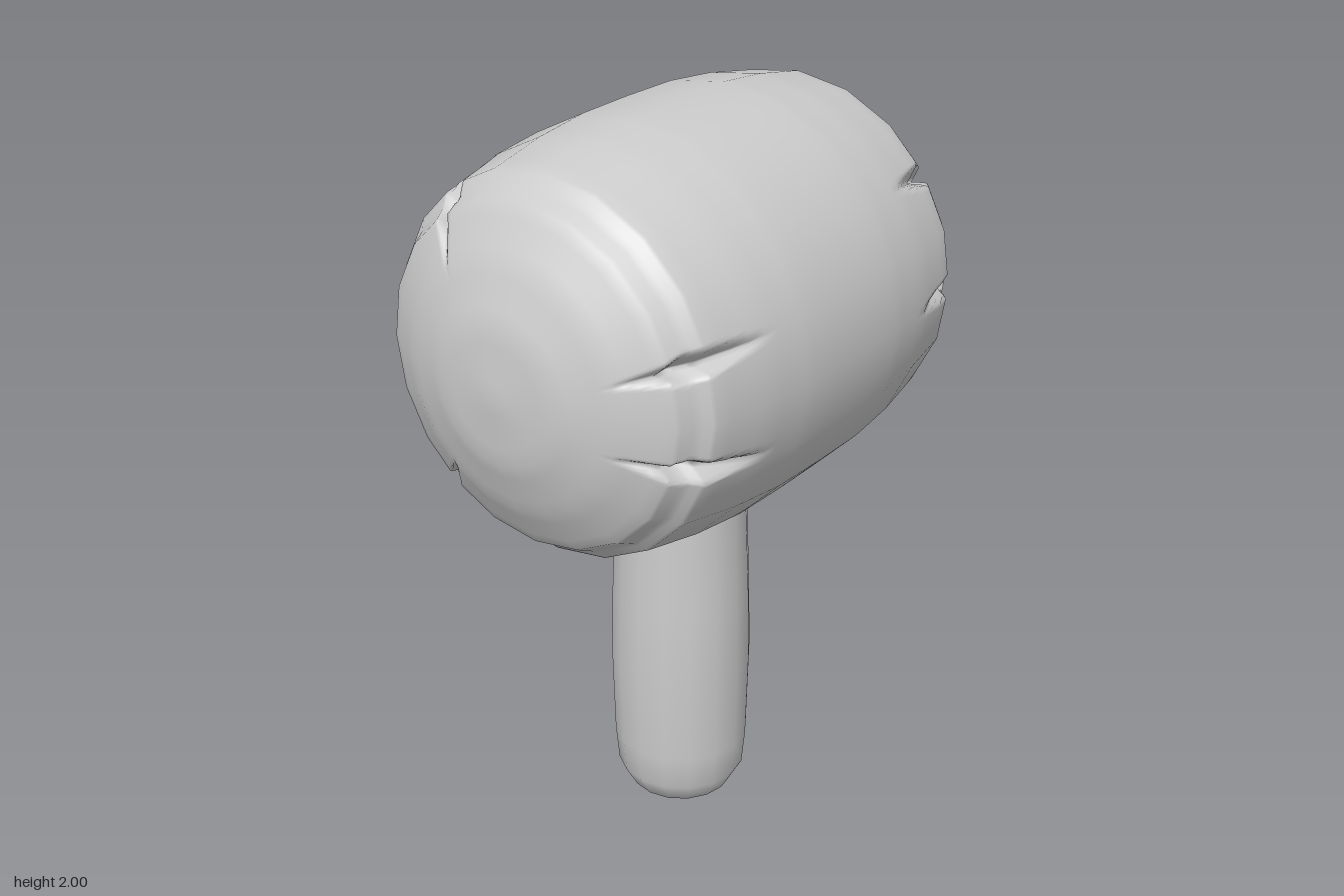
import * as THREE from 'three';
import { mergeVertices } from 'three/addons/utils/BufferGeometryUtils.js';

const material = new THREE.MeshStandardMaterial({ color: 0xcccccc, roughness: 0.8 });
const DEG = Math.PI / 180;
const SIDES = 20;

// Lathe with its seam and poles welded so the shading stays smooth
function smoothLathe(points, segments) {
  const geometry = new THREE.LatheGeometry(points, segments);
  geometry.deleteAttribute('uv');
  geometry.deleteAttribute('normal');
  return mergeVertices(geometry, 1e-5);
}

// Half profile of the head: [radius, distance from the middle]
const headHalf = [
  [0.528, 0], [0.526, 0.17], [0.51, 0.33], [0.48, 0.495], [0.45, 0.525],
  [0.425, 0.575], [0.31, 0.64], [0.175, 0.688], [0, 0.705],
];

// Cracks across the rims: angle from +x towards +y, end of the head
const cracks = [
  ...[17, -16, 126, 233].map((a) => ({ angle: a * DEG, end: 1 })),
  ...[0, 180, 36, 144, -51, -129].map((a) => ({ angle: a * DEG, end: -1 })),
];

// Depth of the V-shaped cracks at one place on the head
function crackDepth(angle, z) {
  let depth = 0;
  for (const c of cracks) {
    const t = (z * c.end - 0.34) / (0.64 - 0.34);
    if (t <= 0 || t >= 1) continue;
    const taper = t < 0.65 ? t / 0.65 : (1 - t) / 0.35;
    const d = angle - c.angle;
    const off = Math.abs(Math.atan2(Math.sin(d), Math.cos(d)));
    const width = 0.02 + 0.055 * taper;
    depth = Math.max(depth, 0.075 * taper * Math.max(0, 1 - off / width));
  }
  return depth;
}

function headGeometry() {
  // Subdivide the profile evenly between its corners
  const knots = [
    ...headHalf.slice(1).reverse().map(([r, z]) => [r, -z]),
    ...headHalf,
  ];
  const points = [];
  knots.forEach(([r, z], i) => {
    points.push(new THREE.Vector2(r, z));
    if (i === knots.length - 1) return;
    const [r2, z2] = knots[i + 1];
    const steps = Math.abs(z) < 0.2 && Math.abs(z2) < 0.2 ? 2 : 4;
    for (let k = 1; k < steps; k++) {
      const t = k / steps;
      points.push(new THREE.Vector2(r + (r2 - r) * t, z + (z2 - z) * t));
    }
  });
  const geometry = smoothLathe(points, 360).rotateX(Math.PI / 2);
  const pos = geometry.attributes.position;

  // Press the cracks in
  for (let i = 0; i < pos.count; i++) {
    const x = pos.getX(i), y = pos.getY(i), z = pos.getZ(i);
    const r = Math.hypot(x, y);
    if (r < 1e-4) continue;
    const k = 1 - crackDepth(Math.atan2(y, x), z) / r;
    pos.setXY(i, x * k, y * k);
  }
  geometry.computeVertexNormals();

  // Flatten the outline to a polygon, keeping the round shading
  const step = (2 * Math.PI) / SIDES;
  for (let i = 0; i < pos.count; i++) {
    const x = pos.getX(i), y = pos.getY(i);
    const a = Math.atan2(y, x) + 2 * Math.PI;
    const k = Math.cos(step / 2) / Math.cos((a % step) - step / 2);
    pos.setXY(i, x * k, y * k);
  }
  return geometry;
}

function handleGeometry() {
  const profile = [
    [0, 0.005], [0.085, 0.01], [0.142, 0.04], [0.175, 0.1], [0.184, 0.2],
    [0.19, 0.45], [0.186, 0.65], [0.175, 0.93], [0.17, 1.2], [0, 1.2],
  ].map(([r, y]) => new THREE.Vector2(r, y));
  const geometry = smoothLathe(profile, 16);
  geometry.computeVertexNormals();
  return geometry;
}

export function createModel() {
  const model = new THREE.Group();
  model.name = 'mallet';

  const head = new THREE.Mesh(headGeometry(), material);
  head.name = 'head';
  head.position.y = 1.472;

  const handle = new THREE.Mesh(handleGeometry(), material);
  handle.name = 'handle';

  model.add(head, handle);
  return model;
}
